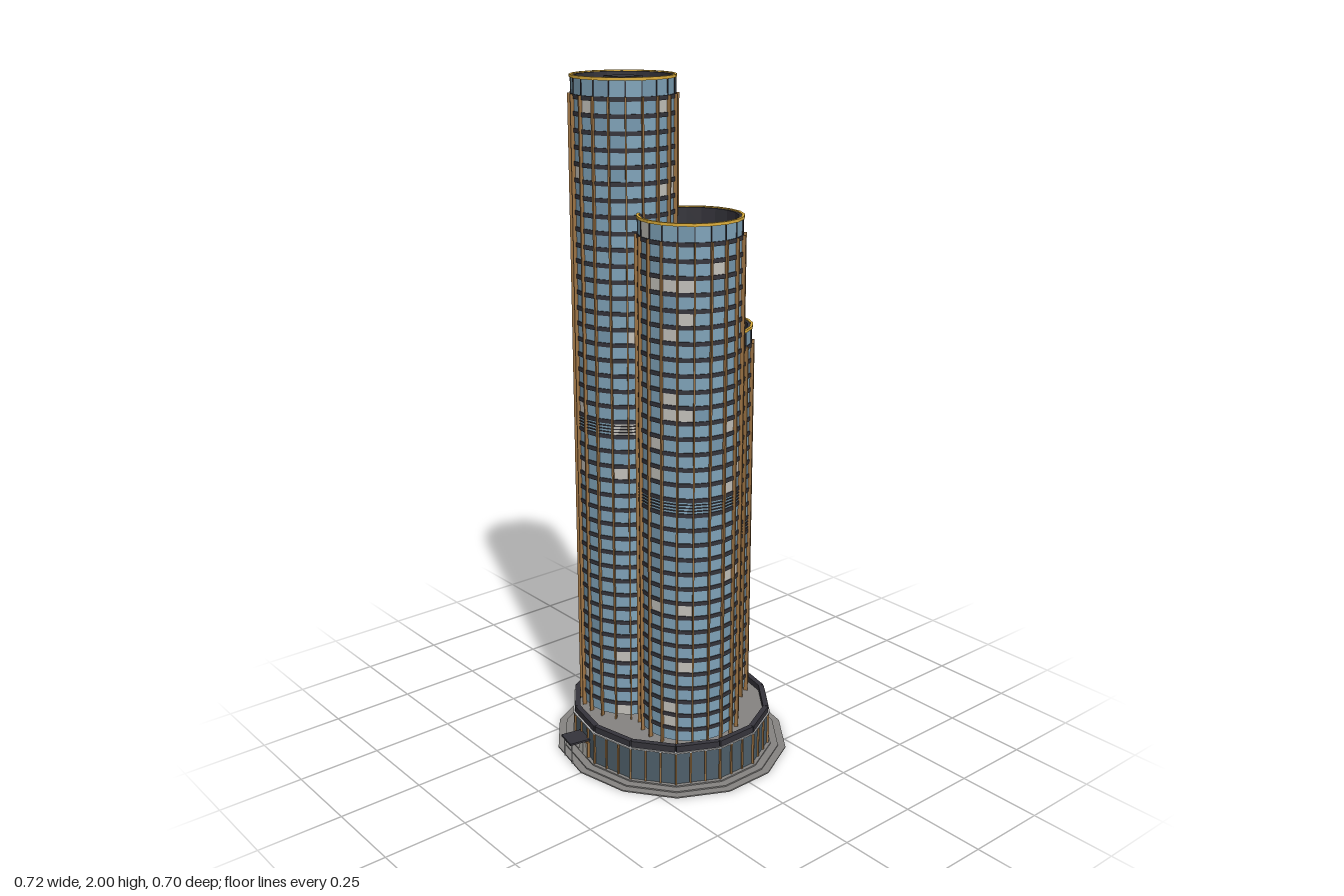
import * as THREE from 'three';
import { mergeGeometries } from 'three/addons/utils/BufferGeometryUtils.js';

const mat = (name, color) => {
  const m = new THREE.MeshStandardMaterial({ color });
  m.name = name;
  return m;
};

export function createModel() {
  const glass = mat('blue glass', 0x80a4ba);
  const tinted = mat('tinted glass', 0x7699af);
  const litPane = mat('pale pane', 0xc4c2bc);
  const lobbyGlass = mat('lobby glass', 0x4e5f6a);
  const dark = mat('dark metal', 0x35343b);
  const bronze = mat('bronze', 0x9c7344);
  const gold = mat('gold trim', 0xe0b03c);
  const stone = mat('grey stone', 0x868482);
  const pale = mat('pale metal', 0xbababa);

  let seed = 7;
  const rand = () => (seed = (seed * 16807) % 2147483647) / 2147483647;

  const model = new THREE.Group();
  model.name = 'towerCluster';

  const add = (parent, name, geo, material) => {
    const m = new THREE.Mesh(geo, material);
    m.name = name;
    parent.add(m);
    return m;
  };
  const flat = (geo) => {
    const g = geo.toNonIndexed();
    g.computeVertexNormals();
    return g;
  };
  const box = (w, h, d, x, y, z, ry = 0) =>
    new THREE.BoxGeometry(w, h, d).rotateY(ry).translate(x, y, z);

  const SIDES = 20, R = 0.142, BASE = 0.13, FLOOR = 0.0444, PODIUM_TOP = 0.118;

  // Faceted hollow ring
  const ring = (rIn, rOut, y0, y1) => flat(new THREE.LatheGeometry(
    [[rIn, y0], [rOut, y0], [rOut, y1], [rIn, y1], [rIn, y0]]
      .map(([x, y]) => new THREE.Vector2(x, y)), SIDES));

  // Open glass drum whose panes are sorted into three material groups
  const glazing = (parent, name, r, y0, y1, rows) => {
    const g = new THREE.CylinderGeometry(r, r, y1 - y0, SIDES, rows, true);
    g.translate(0, (y0 + y1) / 2, 0);
    const old = g.index.array, buckets = [[], [], []];
    for (let i = 0; i < old.length; i += 6) {
      const k = rand();
      buckets[k < 0.045 ? 2 : k < 0.2 ? 1 : 0].push(...old.slice(i, i + 6));
    }
    g.setIndex(buckets.flat());
    g.clearGroups();
    let start = 0;
    buckets.forEach((b, i) => { g.addGroup(start, b.length, i); start += b.length; });
    add(parent, name, flat(g), [glass, tinted, litPane]);
  };

  // Vertical strips at every corner of a tower
  const strips = (r, w, d, y0, y1) => mergeGeometries(Array.from({ length: SIDES }, (_, i) => {
    const a = (i / SIDES) * Math.PI * 2;
    return box(w, y1 - y0, d, Math.sin(a) * r, (y0 + y1) / 2, Math.cos(a) * r, a);
  }));

  function tower(name, x, z, height, floors, units, pipe) {
    const t = new THREE.Group();
    t.name = name;
    t.position.set(x, 0, z);
    model.add(t);
    const roof = height - 0.05;

    glazing(t, 'windows', R, roof - floors * FLOOR, roof, floors);
    const bands = [];
    for (let i = 0; i < floors; i++) {
      const y = roof - i * FLOOR;
      bands.push(ring(R - 0.004, R + 0.003, y - 0.012, y));
    }
    add(t, 'floorBands', mergeGeometries(bands), dark);
    add(t, 'fins', strips(R + 0.004, 0.0045, 0.012, PODIUM_TOP, roof), bronze);

    // Louvres across the middle floor
    const louverY = BASE + (Math.floor(floors / 2) + 0.5) * FLOOR - 0.006;
    add(t, 'louvers', mergeGeometries([-0.009, 0, 0.009].map(
      (d) => ring(R - 0.002, R + 0.003, louverY + d - 0.0015, louverY + d + 0.0015))), dark);

    // Crown, parapet lining and roof
    glazing(t, 'crownGlass', R, roof, height - 0.004, 1);
    add(t, 'crownMullions', strips(R, 0.003, 0.004, roof, height - 0.006), dark);
    add(t, 'parapetLining', ring(R - 0.011, R - 0.003, roof - 0.005, height - 0.003), dark);
    add(t, 'crownTrim', ring(R - 0.003, R + 0.0045, height - 0.008, height), gold);
    add(t, 'roof', flat(new THREE.CylinderGeometry(R - 0.004, R - 0.004, 0.01, SIDES)
      .translate(0, roof - 0.005, 0)), stone);

    // Roof fans and pipe, given in model coordinates
    for (const [ux, uz, w, d] of units) {
      add(t, 'fanBox', box(w, 0.018, d, ux - x, roof + 0.009, uz - z), pale);
      const r = Math.max(0.01, w * 0.29);
      const fan = new THREE.CylinderGeometry(r, r, 0.008, 12);
      add(t, 'fan', fan.translate(ux - x, roof + 0.022, uz - z), dark);
    }
    const [px0, px1, pz] = pipe;
    add(t, 'roofPipe', new THREE.CylinderGeometry(0.0033, 0.0033, px1 - px0, 16)
      .rotateZ(Math.PI / 2).translate((px0 + px1) / 2 - x, roof + 0.008, pz - z), pale);
    return t;
  }

  const tall = tower('tallTower', -0.108, 0.077, 2.0, 41,
    [[-0.192, 0.12, 0.045, 0.034], [-0.026, 0.129, 0.035, 0.024]], [-0.178, -0.045, 0.139]);
  tower('middleTower', 0.127, 0.037, 1.645, 33,
    [[0.165, 0.023, 0.036, 0.024], [0.071, 0.091, 0.024, 0.024]], [0.083, 0.191, 0.099]);
  tower('shortTower', -0.018, -0.137, 1.29, 25,
    [[-0.021, -0.185, 0.038, 0.029], [0.038, -0.172, 0.025, 0.036]], [-0.085, 0.03, -0.073]);

  // Louvred plant room on the tallest roof
  add(tall, 'plantRoom', box(0.066, 0.044, 0.066, 0, 1.972, 0), pale);
  for (let i = 0; i < 3; i++)
    add(tall, 'plantRoomLouver', box(0.077, 0.005, 0.077, 0, 1.961 + i * 0.0155, 0), dark);

  // Stepped plinth and fourteen-sided podium
  const N = 14;
  const slab = (name, rx, rz, y0, y1, material) =>
    add(model, name, flat(new THREE.CylinderGeometry(1, 1, y1 - y0, N)
      .scale(rx, 1, rz).translate(0, (y0 + y1) / 2, 0)), material);
  for (let i = 0; i < 3; i++)
    slab('plinthStep', 0.368 - i * 0.0235, 0.348 - i * 0.0225, i * 0.004, i * 0.004 + 0.004, stone);
  slab('lobbyWall', 0.309, 0.293, 0.012, 0.113, lobbyGlass);
  slab('podiumCoping', 0.315, 0.301, 0.113, 0.117, pale);
  slab('podiumRoof', 0.297, 0.281, 0.115, PODIUM_TOP, stone);

  const corner = (i, rx, rz) => {
    const a = (i / N) * Math.PI * 2;
    return new THREE.Vector3(Math.sin(a) * rx, 0, Math.cos(a) * rz);
  };
  const parapet = [], mullions = [];
  for (let i = 0; i < N; i++) {
    const a = corner(i, 0.303, 0.287), b = corner(i + 1, 0.303, 0.287);
    const ry = Math.atan2(a.z - b.z, b.x - a.x), mid = a.clone().lerp(b, 0.5);
    parapet.push(box(a.distanceTo(b) - 0.001, 0.019, 0.016, mid.x, 0.1265, mid.z, ry));
    for (let k = 0; k < 3; k++) {
      const q = corner(i, 0.31, 0.294).lerp(corner(i + 1, 0.31, 0.294), k / 3);
      mullions.push(box(0.005, 0.101, 0.008, q.x, 0.0625, q.z, ry));
    }
  }
  add(model, 'podiumParapet', mergeGeometries(parapet), dark);
  add(model, 'podiumMullions', mergeGeometries(mullions), bronze);

  // Entrance with doors and a canopy on two posts
  const entrance = new THREE.Group();
  entrance.name = 'entrance';
  entrance.position.set(-0.068, 0, 0.283);
  entrance.rotation.y = -0.213;
  model.add(entrance);
  add(entrance, 'canopy', box(0.065, 0.006, 0.064, 0, 0.071, 0.028), dark);
  add(entrance, 'doorFrame', box(0.062, 0.05, 0.008, 0, 0.037, 0), bronze);
  for (const s of [-1, 1]) {
    add(entrance, 'door', box(0.025, 0.043, 0.004, s * 0.0145, 0.0345, 0.004), litPane);
    add(entrance, 'canopyPost', new THREE.CylinderGeometry(0.002, 0.002, 0.064, 8)
      .translate(s * 0.027, 0.036, 0.053), pale);
  }
  return model;
}
